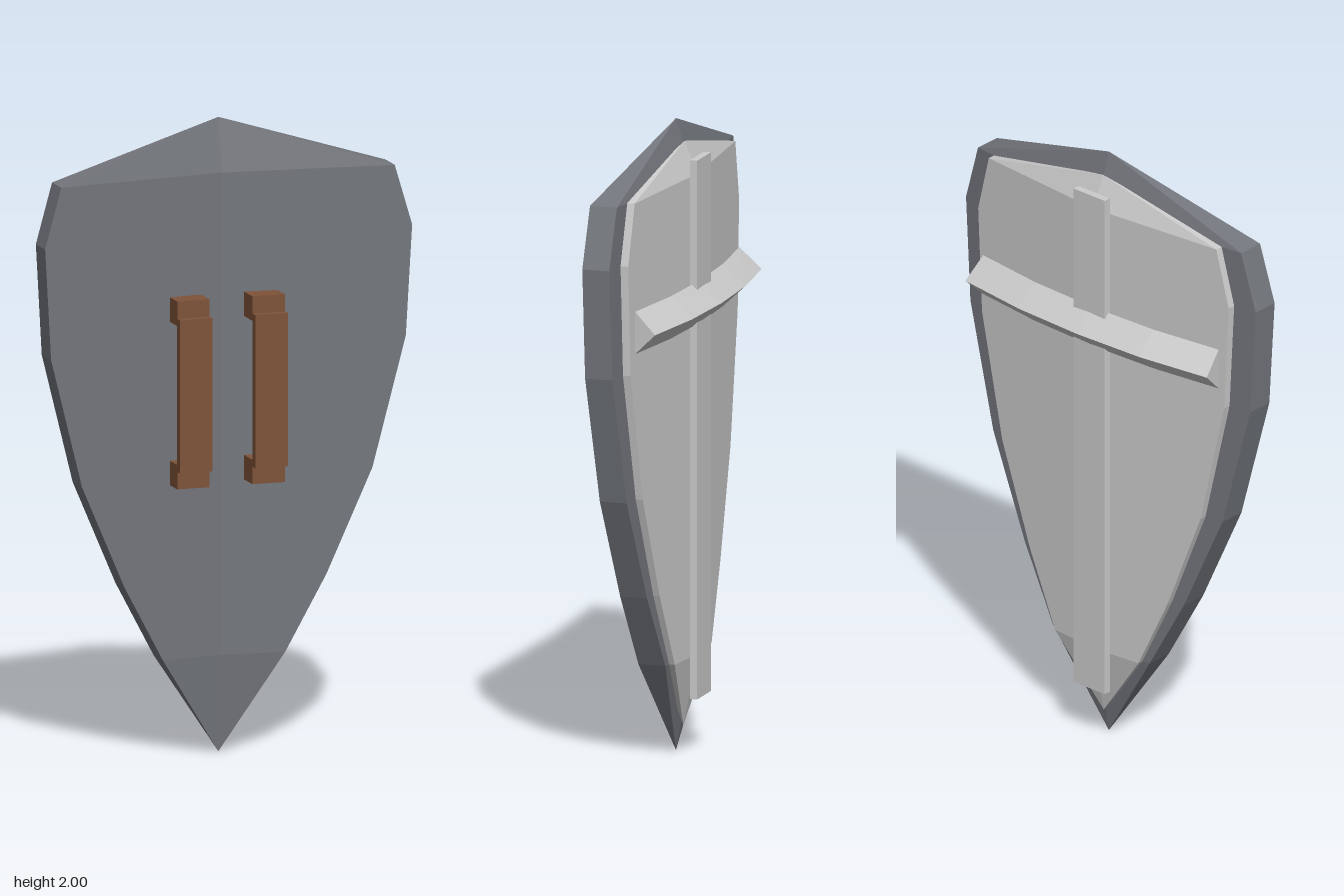
import * as THREE from 'three';

// Skin a list of rings (each an array of [x, y, z]); a row of one point closes the end.
function loft(rows) {
  const n = Math.max(...rows.map((r) => r.length));
  const pos = [];
  const at = (row, i) => row[row.length === 1 ? 0 : i % n];
  for (let r = 0; r < rows.length - 1; r++) {
    const [up, low] = [rows[r], rows[r + 1]];
    for (let i = 0; i < n; i++) {
      const a = at(up, i), b = at(up, i + 1), c = at(low, i), d = at(low, i + 1);
      if (low.length > 1) pos.push(...a, ...c, ...d);
      if (up.length > 1) pos.push(...a, ...d, ...b);
    }
  }
  const g = new THREE.BufferGeometry();
  g.setAttribute('position', new THREE.Float32BufferAttribute(pos, 3));
  g.computeVertexNormals();
  return g;
}

// Half width and height of each row of the outline, top to bottom
const OUTLINE = [[0.545, 1.83], [0.6, 1.64], [0.58, 1.29], [0.475, 0.88], [0.33, 0.55], [0.2, 0.31]];

// Shield-shaped slab, folded along its centre line and pointed at both ends
function slab(scaleX, front, back, backSlope, top, bottom) {
  const rows = OUTLINE.map(([w, y]) => {
    const x = w * scaleX;
    const zf = front + 0.11 * x, zb = back + backSlope * x;
    return [[-x, y, zf], [0, y, front], [x, y, zf], [x, y, zb], [0, y, back], [-x, y, zb]];
  });
  return loft([[top], ...rows, [bottom]]);
}

export function createModel() {
  const group = new THREE.Group();
  const mat = (color) => new THREE.MeshStandardMaterial({ color, flatShading: true });
  const dark = mat(0x73767c), grey = mat(0xcccccc), brown = mat(0x7e5238);
  const add = (name, geometry, material, parent = group) => {
    const mesh = new THREE.Mesh(geometry, material);
    mesh.name = name;
    parent.add(mesh);
    return mesh;
  };
  const box = (name, material, parent, [x0, x1], [y0, y1], [z0, z1]) =>
    add(name, new THREE.BoxGeometry(x1 - x0, y1 - y0, z1 - z0), material, parent)
      .position.set((x0 + x1) / 2, (y0 + y1) / 2, (z0 + z1) / 2);

  // Dark body and the raised plate on its outer face
  add('shieldBody', slab(1, 0.031, -0.057, 0.11, [0, 2, 0], [0, 0, 0]), dark);
  add('facePlate', slab(0.865, -0.03, -0.072, 0.09, [0, 1.93, -0.028], [0, 0.08, -0.024]), grey);

  // Upright bar of the cross
  box('uprightBar', grey, group, [-0.065, 0.065], [0.18, 1.885], [-0.092, -0.068]);

  // Bowed crossbar with a triangular section: [base x, base z, ridge x, ridge z]
  const bow = [[0.488, -0.037, 0.5, -0.106], [0.245, -0.068, 0.252, -0.139], [0, -0.078, 0, -0.149],
    [-0.245, -0.068, -0.252, -0.139], [-0.488, -0.037, -0.5, -0.106]];
  const barRows = bow.map(([x, z, rx, rz]) => [[x, 1.492, z], [x, 1.358, z], [rx, 1.425, rz]]);
  const endPoint = (s) => [[s * 0.492, 1.425, -0.06]];
  add('crossbar', loft([endPoint(1), ...barRows, endPoint(-1)]), grey);

  // Pair of handles on the inner face
  for (const side of [-1, 1]) {
    const handle = new THREE.Group();
    handle.name = side > 0 ? 'leftHandle' : 'rightHandle';
    group.add(handle);
    const xs = [side * 0.123 - 0.053, side * 0.123 + 0.053];
    box('upperMount', brown, handle, xs, [1.375, 1.452], [0.02, 0.12]);
    box('lowerMount', brown, handle, xs, [0.86, 0.937], [0.02, 0.12]);
    box('grip', brown, handle, xs, [0.915, 1.398], [0.118, 0.147]);
  }
  return group;
}
